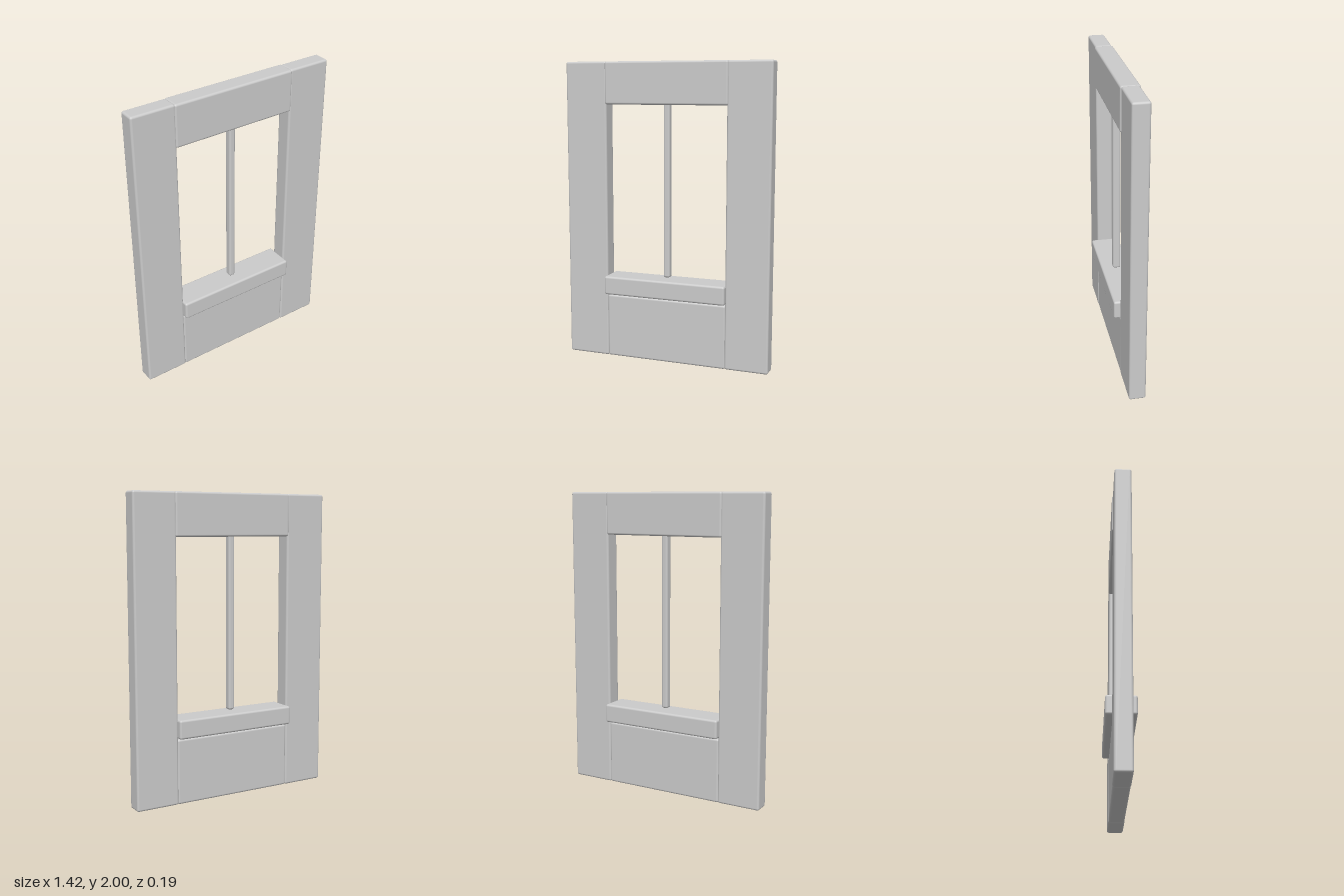
import * as THREE from 'three';
import { RoundedBoxGeometry } from 'three/addons/geometries/RoundedBoxGeometry.js';

export function createModel() {
  const model = new THREE.Group();
  model.name = 'windowWallFrame';
  const material = new THREE.MeshStandardMaterial({ color: 0xcccccc });

  // Softly bevelled board spanning x0..x1 and y0..y1, centred in depth
  function board(name, x0, x1, y0, y1, depth, radius = 0.014) {
    const geometry = new RoundedBoxGeometry(x1 - x0, y1 - y0, depth, 3, radius);
    const mesh = new THREE.Mesh(geometry, material);
    mesh.name = name;
    mesh.position.set((x0 + x1) / 2, (y0 + y1) / 2, 0);
    model.add(mesh);
  }

  // Side posts
  board('leftPost', 0.417, 0.71, 0, 2, 0.11);
  board('rightPost', -0.71, -0.417, 0, 2, 0.11);

  // Header, sill and lower panel between the posts
  board('header', -0.425, 0.425, 1.72, 2, 0.122);
  board('sill', -0.425, 0.425, 0.44, 0.565, 0.195);
  board('lowerPanel', -0.42, 0.42, 0, 0.43, 0.106);

  // Central bar hanging from the header, just clear of the sill
  board('centreBar', -0.022, 0.022, 0.576, 1.74, 0.052);

  return model;
}
